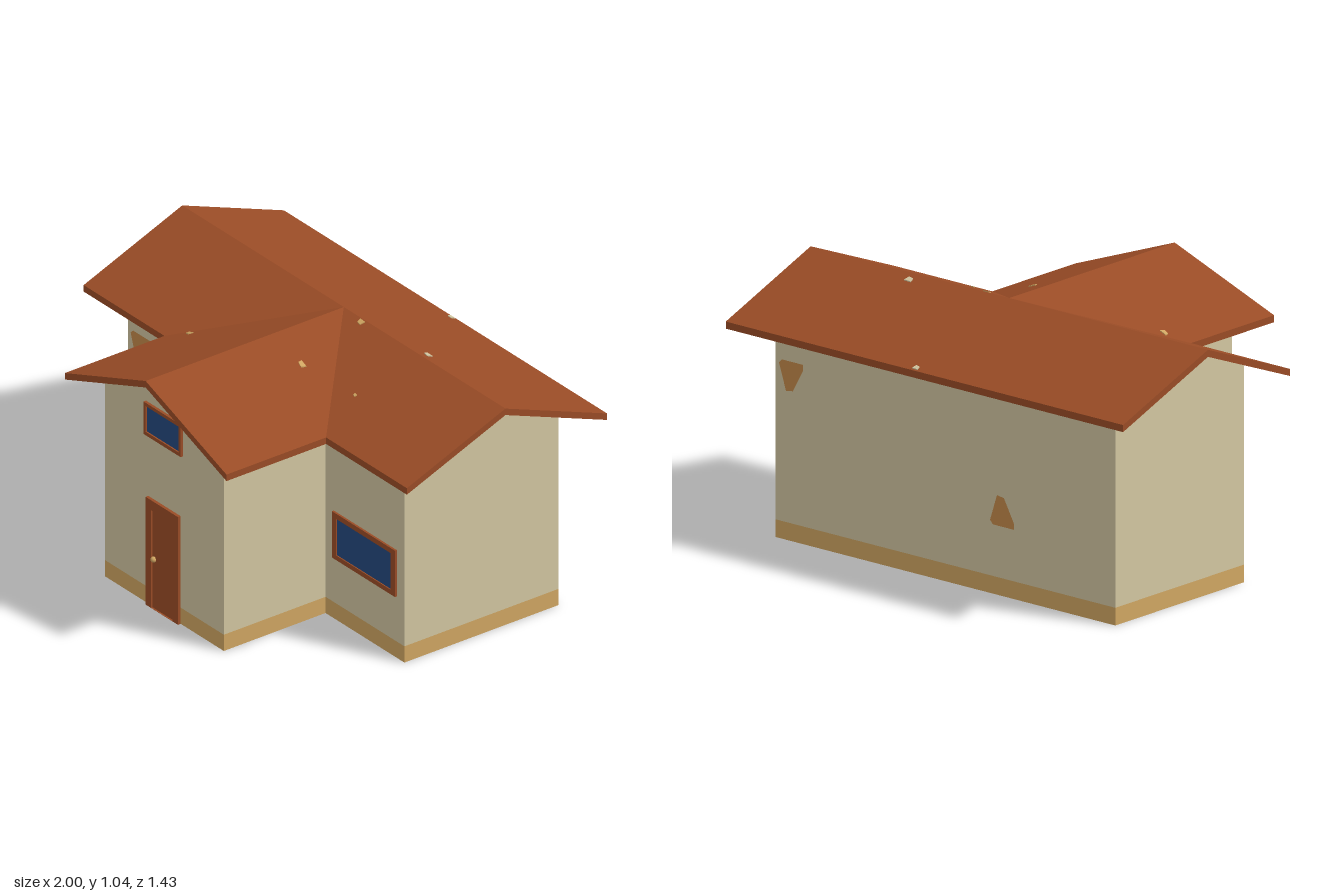
import * as THREE from 'three';

const mat = (name, color, side = THREE.FrontSide) => {
  const m = new THREE.MeshStandardMaterial({ color, side });
  m.name = name;
  return m;
};

// Flat polygons (corner lists, counter-clockwise from outside) fanned into triangles
function polygons(list) {
  const pos = [];
  for (const p of list)
    for (let i = 1; i < p.length - 1; i++) pos.push(...p[0], ...p[i], ...p[i + 1]);
  const g = new THREE.BufferGeometry();
  g.setAttribute('position', new THREE.Float32BufferAttribute(pos, 3));
  g.computeVertexNormals();
  return g;
}

// Polygon thickened straight down by t
function slab(top, t) {
  const low = top.map(([x, y, z]) => [x, y - t, z]);
  const faces = [top, [...low].reverse()];
  top.forEach((p, i) => {
    const j = (i + 1) % top.length;
    faces.push([p, low[i], low[j], top[j]]);
  });
  return polygons(faces);
}

const mirrorX = (pts) => pts.map(([x, y, z]) => [-x, y, z]).reverse();

const RIDGE = 1.035, EAVE = 0.85, ROOF_T = 0.028, RIDGE_Z = -0.23;
const EAVE_F = 0.24, EAVE_B = -0.715, WING_HALF = 0.5, WING_F = 0.715;

// Height of the roof surface
function roofY(x, z) {
  const drop = RIDGE - EAVE;
  const run = z < RIDGE_Z ? RIDGE_Z - EAVE_B : EAVE_F - RIDGE_Z;
  const main = z > EAVE_F ? -1 : RIDGE - drop * Math.abs(z - RIDGE_Z) / run;
  const wing = z < RIDGE_Z || Math.abs(x) > WING_HALF ? -1 : RIDGE - drop * Math.abs(x) / WING_HALF;
  return Math.max(main, wing);
}

export function createModel() {
  const house = new THREE.Group();
  house.name = 'house';
  const plaster = mat('plaster', 0xd2c6a1, THREE.DoubleSide);
  const ochre = mat('ochre base', 0xd0a662, THREE.DoubleSide);
  const wood = mat('red brown', 0x9a4c26);
  const glass = mat('blue glass', 0x25487f);
  const rust = mat('worn patch', 0xc48a4a, THREE.DoubleSide);

  const add = (name, geo, material, parent = house) => {
    const m = new THREE.Mesh(geo, material);
    m.name = name;
    parent.add(m);
    return m;
  };

  // Walls follow the footprint; gable walls get a peak point
  const W = 0.855, B = -0.595, F = 0.14, w = 0.367, P = 0.625, BAND = 0.07;
  const under = (x, z) => roofY(x, z) - ROOF_T;
  const foot = [[-w, P], [w, P], [w, F], [W, F], [W, B], [-W, B], [-W, F], [-w, F]];
  const peaks = { 0: [0, P], 3: [W, RIDGE_Z], 5: [-W, RIDGE_Z] };
  const upper = [], lower = [];
  foot.forEach(([x0, z0], i) => {
    const [x1, z1] = foot[(i + 1) % foot.length];
    const top = [[x1, under(x1, z1), z1]];
    if (peaks[i]) top.push([peaks[i][0], RIDGE - ROOF_T, peaks[i][1]]);
    top.push([x0, under(x0, z0), z0]);
    upper.push([[x0, BAND, z0], [x1, BAND, z1], ...top]);
    lower.push([[x0, 0, z0], [x1, 0, z1], [x1, BAND, z1], [x0, BAND, z0]]);
  });
  add('walls', polygons(upper), plaster);
  add('wallBase', polygons(lower), ochre);

  // Roof panels meeting at the ridges and valleys
  const roof = new THREE.Group();
  roof.name = 'roof';
  house.add(roof);
  const backPanel = [[-1, EAVE, EAVE_B], [-1, RIDGE, RIDGE_Z], [1, RIDGE, RIDGE_Z], [1, EAVE, EAVE_B]];
  const frontPanel = [[1, EAVE, EAVE_F], [1, RIDGE, RIDGE_Z], [0, RIDGE, RIDGE_Z], [WING_HALF, EAVE, EAVE_F]];
  const wingPanel = [[0, RIDGE, RIDGE_Z], [0, RIDGE, WING_F], [WING_HALF, EAVE, WING_F], [WING_HALF, EAVE, EAVE_F]];
  add('roofBack', slab(backPanel, ROOF_T), wood, roof);
  for (const [name, pts] of [['roofFront', frontPanel], ['roofWing', wingPanel]]) {
    add(name + 'Left', slab(pts, ROOF_T), wood, roof);
    add(name + 'Right', slab(mirrorX(pts), ROOF_T), wood, roof);
  }

  // Frame with an opening and an inset panel, straddling the wall
  function opening(name, x, y0, y1, width, side, bottom, top, wallZ, depth, panelMat) {
    const g = new THREE.Group();
    g.name = name;
    g.position.set(x, 0, wallZ);
    house.add(g);
    const a = width / 2, b = a - side;
    const s = new THREE.Shape([[-a, y0], [a, y0], [a, y1], [-a, y1]].map((p) => new THREE.Vector2(...p)));
    const inner = [[-b, y0 + bottom], [-b, y1 - top], [b, y1 - top], [b, y0 + bottom]];
    s.holes.push(new THREE.Path(inner.map((p) => new THREE.Vector2(...p))));
    const frame = new THREE.ExtrudeGeometry(s, { depth: depth * 2, bevelEnabled: false });
    add(name + 'Frame', frame.translate(0, 0, -depth), wood, g);
    const h = y1 - y0 - bottom - top;
    add(name + 'Panel', new THREE.BoxGeometry(b * 2, h, depth), panelMat, g).position.y = y0 + bottom + h / 2;
    return g;
  }
  opening('leftWindow', 0.613, 0.265, 0.465, 0.39, 0.026, 0.02, 0.022, F, 0.009, glass);
  opening('rightWindow', -0.605, 0.265, 0.465, 0.39, 0.026, 0.02, 0.022, F, 0.009, glass);
  opening('upperWindow', 0, 0.73, 0.87, 0.23, 0.013, 0.015, 0.014, P, 0.012, glass);
  const door = opening('door', 0, 0, 0.465, 0.2, 0.034, 0.001, 0.043, P, 0.013, wood);
  add('doorKnob', new THREE.SphereGeometry(0.012, 10, 8), ochre, door).position.set(-0.055, 0.213, 0.01);

  // Worn patches on the walls, pointing down or up
  const patch = [[-0.06, 0.045], [-0.045, 0.06], [0.06, 0.06], [0.06, 0.035], [0.01, -0.055], [-0.025, -0.06]];
  function wornPatch(name, x, y, z, flip) {
    const s = new THREE.Shape(patch.map(([u, v]) => new THREE.Vector2(u, v * flip)));
    const m = add(name, new THREE.ShapeGeometry(s), rust);
    m.position.set(x, y, z);
    if (z < 0) m.rotation.y = Math.PI;
  }
  wornPatch('frontPatch', -0.775, 0.64, F + 0.003, 1);
  wornPatch('backPatchHigh', 0.775, 0.65, B - 0.003, 1);
  wornPatch('backPatchLow', -0.287, 0.335, B - 0.003, -1);

  // Small chips lying on the roof
  const chips = [[0.055, -0.7, 0.014, plaster], [0.47, -0.27, 0.017, plaster], [0.125, -0.215, 0.015, ochre],
    [0.17, 0.1, 0.016, ochre], [0.42, 0.04, 0.008, ochre], [-0.41, 0.19, 0.015, ochre]];
  for (const [x, z, r, m] of chips) {
    const pts = [[-1, -0.6], [-0.8, 0.5], [0.6, 0.8], [1, -0.5]].map(([u, v]) => {
      const px = x + u * r, pz = z + v * r;
      return [px, roofY(px, pz) + 0.004, pz];
    });
    add('roofChip', slab(pts, 0.004), m, roof);
  }
  return house;
}
